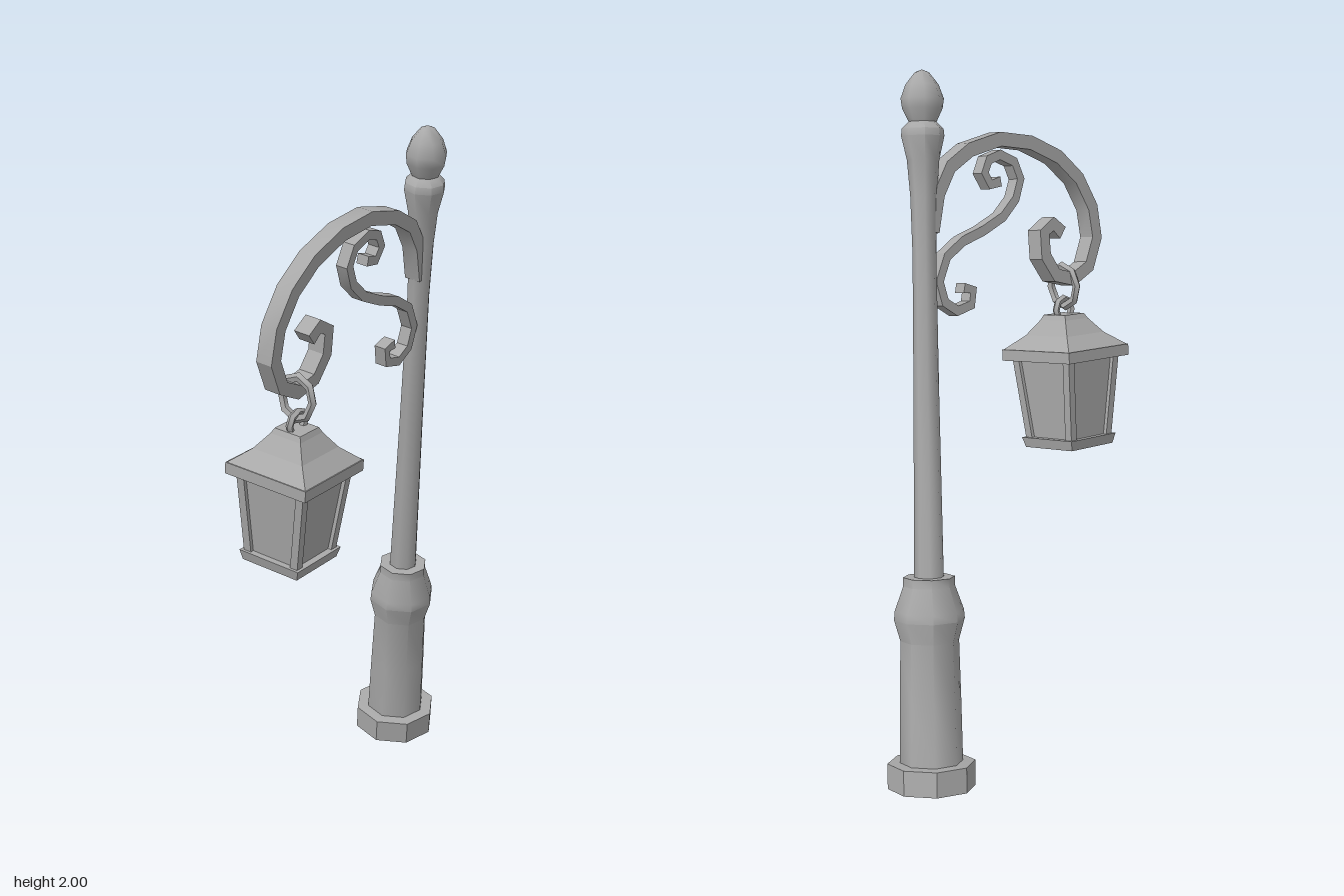
import * as THREE from 'three';
import { toCreasedNormals } from 'three/addons/utils/BufferGeometryUtils.js';

const metal = new THREE.MeshStandardMaterial({ color: 0xa8a8a8 });
metal.name = 'grey metal';

function add(parent, name, geometry, crease = 0.5) {
  const mesh = new THREE.Mesh(toCreasedNormals(geometry, crease), metal);
  mesh.name = name;
  parent.add(mesh);
  return mesh;
}

// Eight-sided turned part from [radius, height] pairs
const turned = (profile) =>
  new THREE.LatheGeometry(profile.map(([r, y]) => new THREE.Vector2(r, y)), 8, Math.PI / 8);

// Square tapered block from y0 to y1 with the given side lengths
function block(side0, side1, y0, y1) {
  const g = new THREE.CylinderGeometry(side1 * Math.SQRT1_2, side0 * Math.SQRT1_2, y1 - y0, 4);
  return g.rotateY(Math.PI / 4).translate(0, (y0 + y1) / 2, 0);
}

// Flat bar following [z, y] points, laid into the leaning plane of the bracket
const planeX = (z, y) => 0.057 + 0.132 * (y - 1.62) + 0.263 * (z + 0.23);
function bar(path, thickness, width) {
  const left = [], right = [];
  path.forEach(([z, y], i) => {
    const a = path[Math.max(i - 1, 0)], b = path[Math.min(i + 1, path.length - 1)];
    const n = new THREE.Vector2(a[1] - b[1], b[0] - a[0]).setLength(thickness / 2);
    left.push(new THREE.Vector2(z + n.x, y + n.y));
    right.unshift(new THREE.Vector2(z - n.x, y - n.y));
  });
  const g = new THREE.ExtrudeGeometry(new THREE.Shape([...left, ...right]),
    { depth: width, bevelEnabled: false });
  g.translate(0, 0, -width / 2);
  const m = new THREE.Matrix4().makeBasis(
    new THREE.Vector3(0.263, 0, 1),
    new THREE.Vector3(0.132, 1, 0),
    new THREE.Vector3(-1, 0.132, 0.263).normalize());
  m.setPosition(planeX(0, 0), 0, 0);
  return g.applyMatrix4(m);
}

function createPost() {
  const post = new THREE.Group();
  post.name = 'post';
  post.position.set(-0.183, 0.022, -0.355);
  post.quaternion.setFromUnitVectors(new THREE.Vector3(0, 1, 0),
    new THREE.Vector3(0.3, 1.978, 0.157).normalize());

  add(post, 'foot', turned([[0, 0], [0.125, 0], [0.125, 0.072], [0, 0.078]]));
  add(post, 'pedestal', turned([[0.09, 0.07], [0.087, 0.25], [0.083, 0.42], [0.1, 0.48],
    [0.098, 0.505], [0.073, 0.575], [0.073, 0.6], [0, 0.6]]), 0.82);
  add(post, 'shaft', turned([[0.042, 0.59], [0.036, 1.1], [0.033, 1.5], [0.037, 1.66],
    [0.045, 1.76], [0.06, 1.825], [0.058, 1.845], [0.038, 1.865], [0, 1.868]]), 0.82);
  add(post, 'finial', turned([[0, 1.86], [0.038, 1.862], [0.056, 1.9], [0.06, 1.927],
    [0.046, 1.965], [0.02, 1.998], [0, 2.006]]), 0.95);
  return post;
}

function createBracket() {
  const bracket = new THREE.Group();
  bracket.name = 'bracket';
  add(bracket, 'arm', bar([[-0.22, 1.56], [-0.19, 1.66], [-0.14, 1.73], [-0.06, 1.77],
    [0.06, 1.79], [0.18, 1.77], [0.29, 1.72], [0.37, 1.65], [0.42, 1.56], [0.43, 1.47],
    [0.39, 1.39], [0.32, 1.36], [0.25, 1.38], [0.21, 1.44], [0.21, 1.51], [0.25, 1.53],
    [0.285, 1.5]], 0.04, 0.05));
  const scroll = add(bracket, 'scroll', bar([[0.06, 1.67], [0.02, 1.665], [0, 1.7], [0.02, 1.735],
    [0.065, 1.745], [0.12, 1.72], [0.14, 1.67], [0.115, 1.615], [0.06, 1.57], [-0.02, 1.54],
    [-0.1, 1.52], [-0.165, 1.485], [-0.2, 1.42], [-0.185, 1.36], [-0.14, 1.33],
    [-0.085, 1.34], [-0.075, 1.38], [-0.11, 1.39]], 0.028, 0.036));
  scroll.position.x = 0.008;
  return bracket;
}

function createLantern() {
  const lantern = new THREE.Group();
  lantern.name = 'lantern';
  lantern.position.set(0.127, 0.86, 0.303);
  lantern.rotation.set(0.02, THREE.MathUtils.degToRad(15.4), -0.12, 'ZXY');

  add(lantern, 'bottomPlate', block(0.185, 0.2, 0, 0.03));
  add(lantern, 'panes', block(0.16, 0.205, 0.03, 0.28));
  add(lantern, 'eave', block(0.268, 0.268, 0.265, 0.298));
  add(lantern, 'lowerRoof', block(0.262, 0.165, 0.298, 0.338));
  add(lantern, 'upperRoof', block(0.165, 0.1, 0.338, 0.382));
  add(lantern, 'roofCap', block(0.1, 0.085, 0.382, 0.397));

  // Slanted corner posts: square bars sheared outward toward the top
  for (const sx of [-1, 1]) for (const sz of [-1, 1]) {
    const g = new THREE.BoxGeometry(0.024, 0.25, 0.024);
    const p = g.attributes.position;
    for (let i = 0; i < p.count; i++) {
      const out = 0.09 + p.getY(i) * 0.09;
      p.setXYZ(i, p.getX(i) + sx * out, p.getY(i) + 0.15, p.getZ(i) + sz * out);
    }
    add(lantern, 'cornerPost', g);
  }

  // Loop on the roof
  const loop = add(lantern, 'roofLoop', new THREE.TorusGeometry(0.034, 0.011, 5, 8), 0.9);
  loop.position.set(0, 0.41, 0);
  loop.rotation.y = Math.PI / 2;
  return lantern;
}

export function createModel() {
  const model = new THREE.Group();
  model.name = 'streetLamp';
  model.add(createPost(), createBracket(), createLantern());

  // Ring joining the arm to the lantern
  const ring = add(model, 'hangingRing', new THREE.TorusGeometry(0.052, 0.012, 5, 8), 0.9);
  ring.position.set(0.178, 1.338, 0.312);
  ring.rotation.set(0, 0.26, -0.12);
  ring.scale.y = 1.15;
  return model;
}
